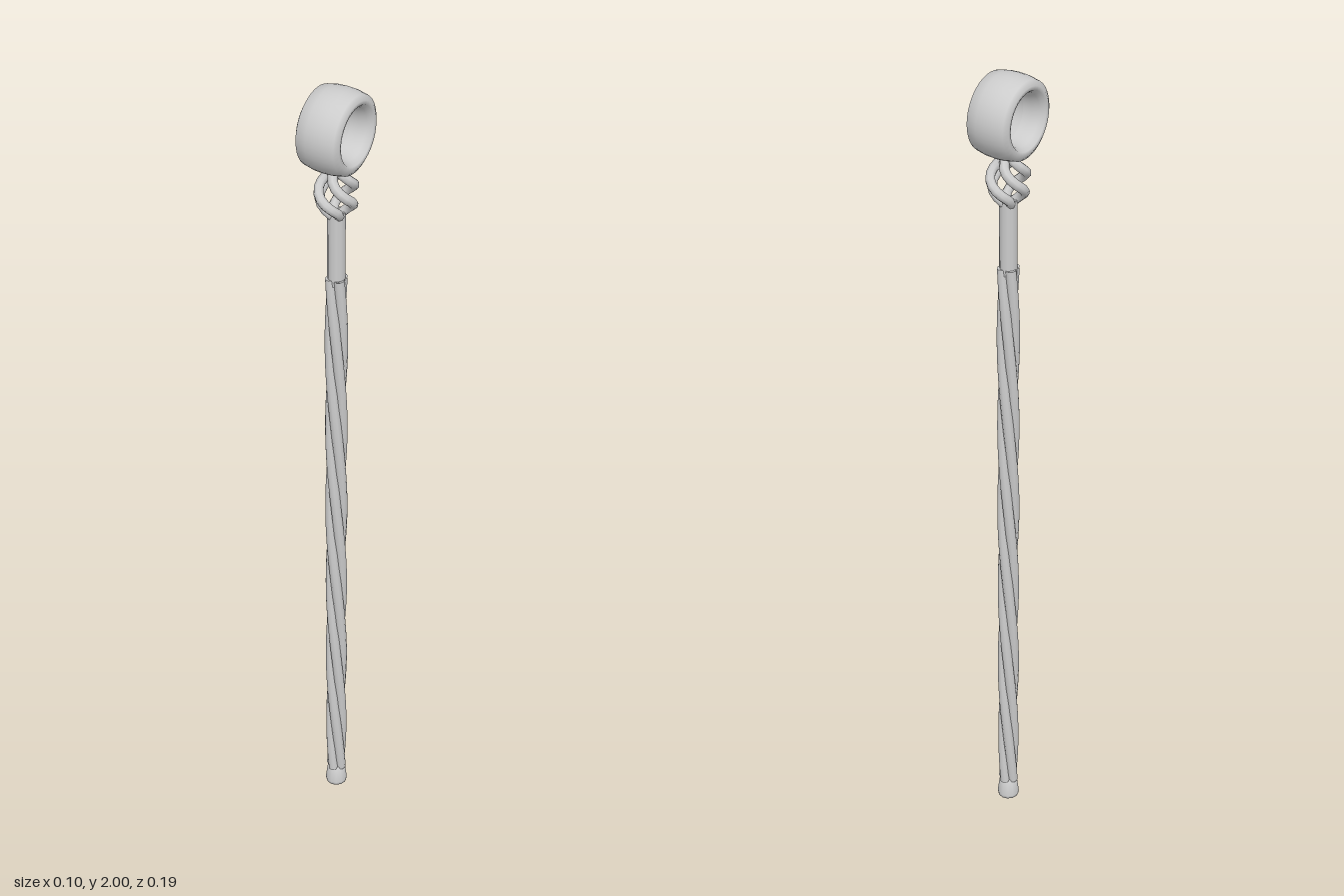
import * as THREE from 'three';

const material = new THREE.MeshStandardMaterial({ color: 0xcccccc });

// Helix rising from y0 to y1; radius(t) gives its distance from the axis
class Helix extends THREE.Curve {
  constructor(y0, y1, start, turns, radius) {
    super();
    Object.assign(this, { y0, y1, start, turns, radius });
  }
  getPoint(t, target = new THREE.Vector3()) {
    const a = this.start + t * this.turns * Math.PI * 2;
    const r = this.radius(t);
    return target.set(r * Math.cos(a), this.y0 + (this.y1 - this.y0) * t, r * Math.sin(a));
  }
}

export function createModel() {
  const model = new THREE.Group();
  const add = (parent, name, geometry) => {
    const mesh = new THREE.Mesh(geometry, material);
    mesh.name = name;
    parent.add(mesh);
    return mesh;
  };
  const lathe = (points, sides) =>
    new THREE.LatheGeometry(points.map(([r, y]) => new THREE.Vector2(r, y)), sides);

  // Wide rounded ring, its hole running along x
  const half = [[0.055, 0], [0.056, 0.02], [0.059, 0.038], [0.066, 0.051],
    [0.075, 0.052], [0.087, 0.045], [0.092, 0.02], [0.093, 0]];
  const lower = half.map(([r, y]) => [r, -y]);
  const upper = half.slice(0, -1).reverse();
  const ring = add(model, 'ring', lathe([...lower, ...upper], 40));
  ring.rotation.z = Math.PI / 2;
  ring.position.y = 1.907;

  // Open basket of four twisted rods
  const basket = new THREE.Group();
  basket.name = 'basketTwist';
  for (let i = 0; i < 4; i++) {
    const path = new Helix(1.7, 1.815, Math.PI * (0.5 * i + 0.1), 0.5,
      t => 0.004 + 0.039 * Math.sin(Math.PI * t));
    add(basket, 'basketRod', new THREE.TubeGeometry(path, 12, 0.011, 8));
  }
  model.add(basket);

  // Plain neck, continuing as a core inside the twist
  const neck = add(model, 'neck', new THREE.CylinderGeometry(0.02, 0.02, 0.18, 12));
  neck.position.y = 1.625;
  const core = add(model, 'core', new THREE.CylinderGeometry(0.016, 0.016, 1.48, 12));
  core.position.y = 0.81;

  // Four strands wound along the shaft
  const shaft = new THREE.Group();
  shaft.name = 'twistedShaft';
  for (let i = 0; i < 4; i++) {
    const path = new Helix(0.075, 1.55, Math.PI * 0.5 * i, 1.6, () => 0.0135);
    add(shaft, 'strand', new THREE.TubeGeometry(path, 96, 0.0125, 10));
    // Closed strand end
    const end = add(shaft, 'strandEnd', new THREE.CircleGeometry(0.0125, 10));
    end.position.copy(path.getPoint(1));
    end.rotation.x = -Math.PI / 2;
  }
  model.add(shaft);

  // Flared tip with a blunt point
  add(model, 'tip', lathe([[0, 0], [0.01, 0.012], [0.026, 0.024], [0.027, 0.032],
    [0.021, 0.08], [0, 0.08]], 12));

  return model;
}
